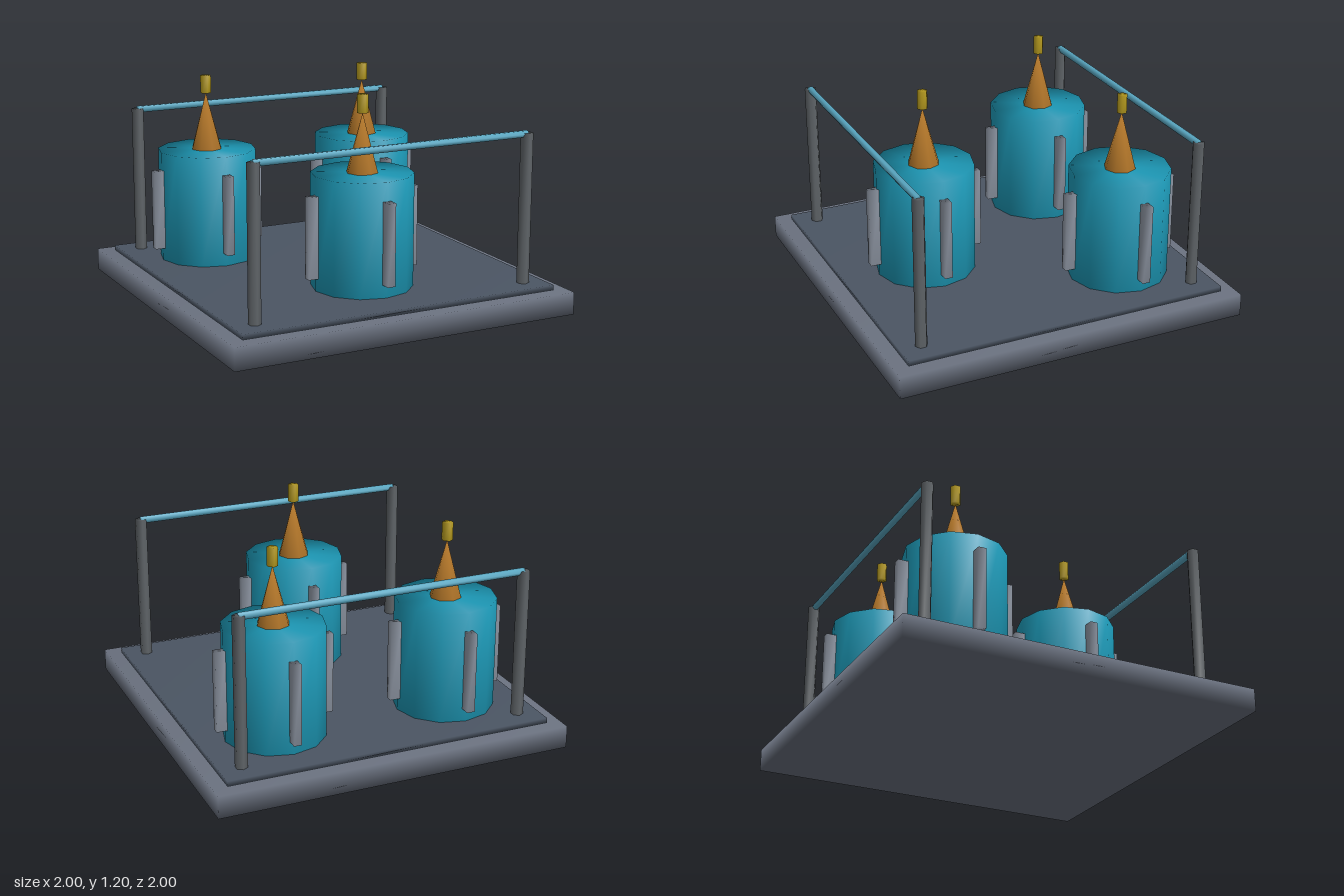
import * as THREE from 'three';
import { mergeVertices } from 'three/addons/utils/BufferGeometryUtils.js';

// Weld all corners so normals blend across every edge
function soften(geometry) {
  geometry.deleteAttribute('normal');
  geometry.deleteAttribute('uv');
  const welded = mergeVertices(geometry, 1e-4);
  welded.computeVertexNormals();
  return welded;
}

const paint = (color) => new THREE.MeshStandardMaterial({ color });
const box = (w, h, d) => soften(new THREE.BoxGeometry(w, h, d));
const drum = (rTop, rBottom, h, sides) => soften(new THREE.CylinderGeometry(rTop, rBottom, h, sides));

function add(parent, name, geometry, material, x, y, z) {
  const mesh = new THREE.Mesh(geometry, material);
  mesh.name = name;
  mesh.position.set(x, y, z);
  parent.add(mesh);
  return mesh;
}

export function createModel() {
  const model = new THREE.Group();
  model.name = 'tankPlatform';

  const slab = paint(0x6b7280), deck = paint(0x4b5563), steel = paint(0x5f6468);
  const teal = paint(0x1d9ab8), finGrey = paint(0x8b93a0);
  const copper = paint(0xb87a2b), brass = paint(0xb59a1e), railBlue = paint(0x5aa9c4);

  // Stepped base
  add(model, 'baseSlab', box(2, 0.125, 2), slab, 0, 0.0625, 0);
  add(model, 'deckPlate', box(1.84, 0.03, 1.84), deck, 0, 0.14, 0);

  // Three tanks, each with four fins, a cone and a cap
  const tankBody = drum(0.278, 0.278, 0.625, 12);
  const cone = soften(new THREE.ConeGeometry(0.088, 0.32, 8));
  const cap = drum(0.03, 0.03, 0.1, 6);
  const fin = box(0.045, 0.45, 0.06);
  for (const [x, z] of [[-0.5, -0.5], [0.5, -0.5], [0, 0.44]]) {
    const tank = new THREE.Group();
    tank.name = 'tank';
    tank.position.set(x, 0, z);
    add(tank, 'tankBody', tankBody, teal, 0, 0.4675, 0);
    add(tank, 'cone', cone, copper, 0, 0.94, 0);
    add(tank, 'cap', cap, brass, 0, 1.15, 0);
    for (let i = 0; i < 4; i++) {
      const a = i * Math.PI / 2;
      add(tank, 'fin', fin, finGrey, Math.sin(a) * 0.3, 0.453, Math.cos(a) * 0.3).rotation.y = a;
    }
    model.add(tank);
  }

  // Guard rails along the front and back
  const post = drum(0.034, 0.034, 0.83, 6);
  const rail = drum(0.02, 0.02, 1.6, 6);
  for (const z of [-0.8, 0.8]) {
    for (const x of [-0.8, 0.8]) add(model, 'post', post, steel, x, 0.57, z);
    add(model, 'rail', rail, railBlue, 0, 0.98, z).rotation.z = Math.PI / 2;
  }
  return model;
}
